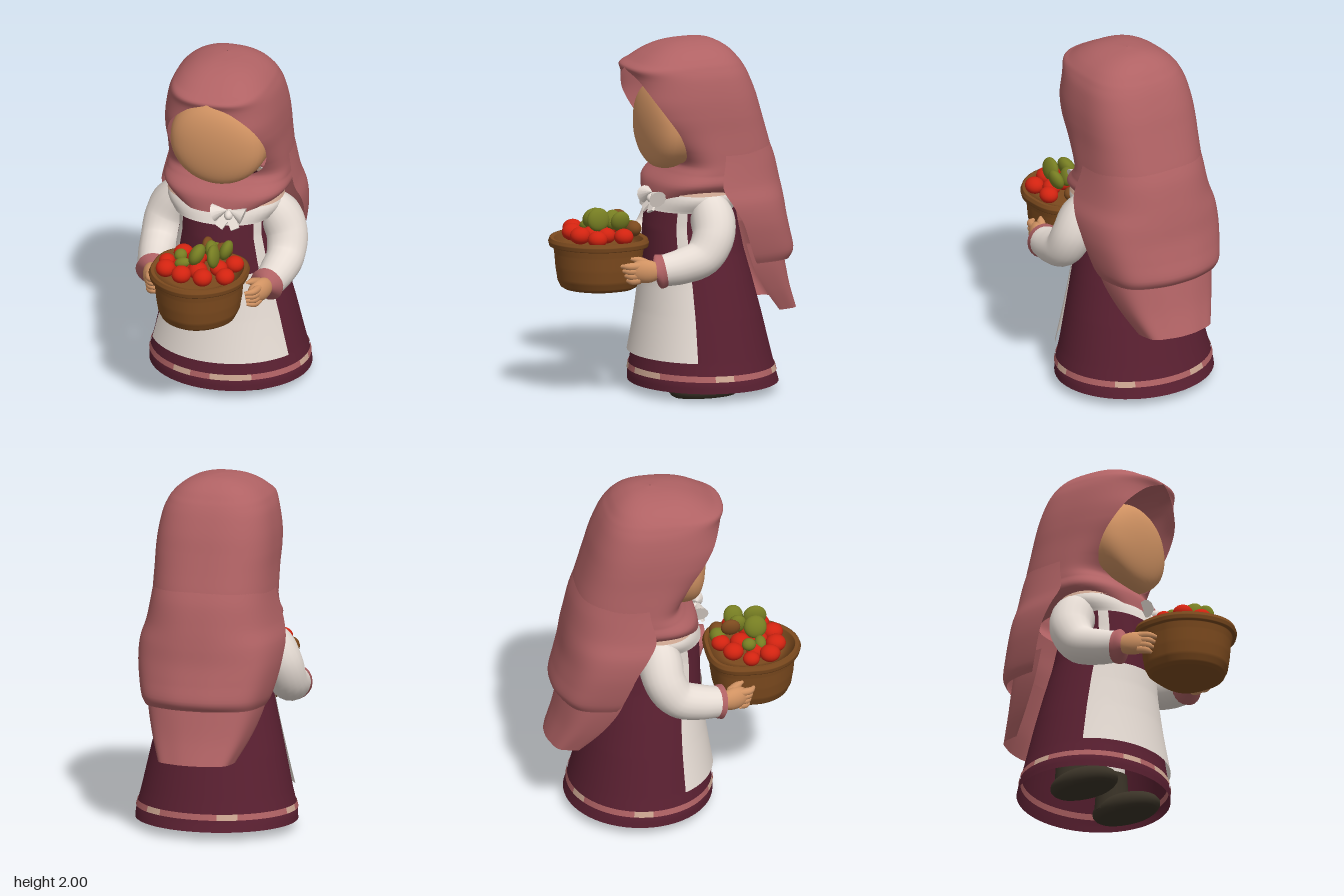
import * as THREE from 'three';
import { ParametricGeometry } from 'three/addons/geometries/ParametricGeometry.js';

const PI = Math.PI;
const paint = (name, color) => {
  const m = new THREE.MeshStandardMaterial({ color, side: THREE.DoubleSide });
  m.name = name;
  return m;
};
const bend = (t, e) => Math.sign(t) * Math.abs(t) ** e;

// Smooth value at t (0..1) through evenly weighted rows of numbers
function sampleRows(rows, t) {
  const f = t * (rows.length - 1), i = Math.min(Math.floor(f), rows.length - 2), k = f - i;
  const at = (j) => rows[Math.max(0, Math.min(rows.length - 1, j))];
  return rows[0].map((_, c) => {
    const [a, b, d, e] = [at(i - 1)[c], at(i)[c], at(i + 1)[c], at(i + 2)[c]];
    return b + 0.5 * k * (d - a + k * (2 * a - 5 * b + 4 * d - e + k * (3 * (b - d) + e - a)));
  });
}

// Cloth sheet: each row is [y, halfWidth, zMiddle, zBack, xEdge, zEdge];
// it runs round the back from one front edge to the other (xEdge 0 closes it).
// Power e below 1 makes the plan boxier; fold adds ripples towards the hem.
function cloth(rows, slices, stacks, fold = 0, e = 0.76) {
  return new ParametricGeometry((u, v, p) => {
    const [y, rx, zc, zb, xe, ze] = sampleRows(rows, v);
    const end = PI - Math.asin(THREE.MathUtils.clamp(xe / rx, 0, 1) ** (1 / e));
    const a = (u * 2 - 1) * end, c = bend(Math.cos(a), e), ce = -Math.cos(end);
    const wave = 1 + fold * v * Math.cos(a * 7);
    const front = ce > 0.01 ? (ze - zc) / ce ** e : 0;
    p.set(rx * bend(Math.sin(a), e) * wave, y, zc - (c > 0 ? zc - zb : front) * c * wave);
  }, slices, stacks);
}

// Dress rows: [y, halfWidth, zFront, zBack], from hem to neck
const DRESS = [
  [0.05, 0.458, 0.225, -0.605], [0.1, 0.455, 0.225, -0.59], [0.22, 0.425, 0.205, -0.56],
  [0.45, 0.375, 0.18, -0.505], [0.64, 0.33, 0.165, -0.455], [0.8, 0.29, 0.16, -0.41],
  [0.95, 0.26, 0.155, -0.38], [1.05, 0.26, 0.14, -0.36], [1.15, 0.26, 0.11, -0.34], [1.22, 0.18, 0.03, -0.28],
];
function dressAt(y) {
  let i = 0;
  while (i < DRESS.length - 2 && DRESS[i + 1][0] < y) i++;
  const k = (y - DRESS[i][0]) / (DRESS[i + 1][0] - DRESS[i][0]);
  return DRESS[i].map((v, c) => v + (DRESS[i + 1][c] - v) * k);
}
// Piece of the dress surface between two heights and two angles (0 = back, PI = front)
function dressPatch(y0, y1, a0, a1, off, slices, stacks, flare = 0) {
  return new ParametricGeometry((u, v, p) => {
    const y = y1 + (y0 - y1) * v, [, rx, zf, zb] = dressAt(y);
    const a = a0 + (a1 - a0) * u, o = off + flare * v * v;
    p.set((rx + o) * Math.sin(a), y, (zf + zb) / 2 - ((zf - zb) / 2 + o) * Math.cos(a));
  }, slices, stacks);
}

// Tube whose radius follows a list
function limb(points, radii, n = 28, sides = 20) {
  const path = new THREE.CatmullRomCurve3(points.map((q) => new THREE.Vector3(...q)));
  const geo = new THREE.TubeGeometry(path, n, 1, sides), pos = geo.attributes.position;
  const v = new THREE.Vector3();
  for (let i = 0; i <= n; i++) {
    const c = path.getPointAt(i / n), r = sampleRows(radii.map((x) => [x]), i / n)[0];
    for (let j = 0; j <= sides; j++) {
      const id = i * (sides + 1) + j;
      v.fromBufferAttribute(pos, id).sub(c).multiplyScalar(r).add(c);
      pos.setXYZ(id, v.x, v.y, v.z);
    }
  }
  return geo;
}

export function createModel() {
  const model = new THREE.Group();
  const rose = paint('rose cloth', 0xb06264), maroon = paint('maroon cloth', 0x5a2031);
  const white = paint('off-white cloth', 0xe6dcd4), skin = paint('skin', 0xd09262);
  const wicker = paint('basket brown', 0x7c4a1e), red = paint('tomato red', 0xd22310);
  const olive = paint('olive green', 0x767d22), dark = paint('shoe brown', 0x3a3327);
  const beige = paint('beige trim', 0xcfa893);
  const add = (name, geo, mat, parent = model) => {
    const m = new THREE.Mesh(geo, mat);
    m.name = name;
    parent.add(m);
    return m;
  };
  const ball = (name, mat, pos, scale, rot = [0, 0, 0], parent = model) => {
    const m = add(name, new THREE.SphereGeometry(1, 20, 14), mat, parent);
    m.position.set(...pos);
    m.scale.set(...scale);
    m.rotation.set(...rot);
  };

  // Dress, apron, shoulder straps and hem trim (outside and inside the hem)
  add('dress', dressPatch(0.05, 1.22, 0, 2 * PI, 0, 56, 40), maroon);
  add('apron', dressPatch(0.22, 0.74, PI * 0.655, PI * 1.345, 0.007, 30, 16, 0.016), white);
  for (const s of [-1, 1])
    add('apronStrap', dressPatch(0.74, 1.08, PI + s * 0.28 * PI, PI + s * 0.35 * PI, 0.007, 4, 10), white);
  for (let i = 0; i < 24; i++)
    add('hemTrim', dressPatch(0.115, 0.148, i * PI / 12, (i + 1) * PI / 12, 0.005, 4, 1),
      [2, 6, 10, 11, 13, 18, 22].includes(i) ? beige : rose);
  add('innerHemTrim', dressPatch(0.115, 0.148, 0, 2 * PI, -0.006, 56, 1), rose);

  // White collar over the shoulders, with a beige edge
  add('collar', cloth([
    [1.23, 0.22, -0.1, -0.3, 0, 0.02], [1.19, 0.3, -0.1, -0.33, 0, 0.09],
    [1.12, 0.33, -0.1, -0.34, 0, 0.135], [1.05, 0.29, -0.1, -0.34, 0, 0.16],
  ], 44, 10, 0, 0.9), white);
  add('collarEdge', cloth([
    [1.2, 0.292, -0.1, -0.33, 0, 0.085], [1.175, 0.319, -0.1, -0.33, 0, 0.107], [1.15, 0.331, -0.1, -0.34, 0, 0.125],
  ], 44, 4, 0, 0.9), beige);

  // Head with a flattened, blank face, fuller towards the chin
  const head = new THREE.SphereGeometry(1, 40, 30), hp = head.attributes.position;
  for (let i = 0; i < hp.count; i++) {
    const y = hp.getY(i);
    hp.setXYZ(i, hp.getX(i) * 0.283, 1.525 + y * 0.256, -0.1 + 0.282 * bend(hp.getZ(i), y < 0 ? 0.37 + 0.12 * y : 0.37));
  }
  head.computeVertexNormals();
  add('head', head, skin);

  // Headscarf: hood with face opening, back drape and lower tail
  add('hood', cloth([
    [1.998, 0.003, -0.12, -0.123, 0, -0.117], [1.988, 0.085, -0.115, -0.215, 0, 0.0], [1.965, 0.16, -0.11, -0.275, 0, 0.09],
    [1.93, 0.22, -0.11, -0.325, 0, 0.165], [1.89, 0.262, -0.11, -0.36, 0, 0.23],
    [1.857, 0.283, -0.115, -0.385, 0, 0.285], [1.8, 0.306, -0.13, -0.415, 0.12, 0.255], [1.7, 0.325, -0.15, -0.455, 0.225, 0.205],
    [1.6, 0.333, -0.17, -0.485, 0.27, 0.14], [1.5, 0.335, -0.18, -0.515, 0.28, 0.07], [1.4, 0.34, -0.18, -0.545, 0.262, 0.025],
    [1.33, 0.343, -0.18, -0.56, 0.2, 0.015], [1.27, 0.348, -0.17, -0.565, 0, 0.06],
    [1.2, 0.35, -0.15, -0.56, 0, 0.125], [1.115, 0.25, -0.12, -0.5, 0, 0.145],
  ], 64, 70), rose);
  add('scarfDrape', cloth([
    [1.43, 0.333, -0.185, -0.532, 0.333, -0.185], [1.33, 0.349, -0.175, -0.572, 0.349, -0.175],
    [1.2, 0.378, -0.15, -0.602, 0.378, -0.15],
    [1.1, 0.405, -0.2, -0.62, 0.405, -0.2], [1.0, 0.405, -0.26, -0.635, 0.405, -0.26],
    [0.9, 0.39, -0.3, -0.66, 0.39, -0.3], [0.8, 0.365, -0.34, -0.685, 0.365, -0.34], [0.75, 0.34, -0.37, -0.66, 0.34, -0.37],
  ], 48, 32, 0.012), rose);
  add('scarfTail', cloth([
    [0.87, 0.35, -0.3, -0.6, 0.35, -0.3], [0.72, 0.325, -0.36, -0.635, 0.325, -0.36],
    [0.58, 0.28, -0.45, -0.67, 0.28, -0.45], [0.45, 0.22, -0.56, -0.715, 0.22, -0.56],
  ], 40, 14, 0.02), rose);

  // Bow at the neck
  const bow = new THREE.Group();
  bow.name = 'bow';
  bow.position.set(0.09, 1.12, 0.15);
  ball('bowKnot', white, [0, 0, 0], [0.026, 0.03, 0.04], [0, 0, 0], bow);
  for (const s of [-1, 1]) {
    const loop = add('bowLoop', new THREE.ConeGeometry(0.05, 0.085, 12), white, bow);
    loop.position.set(s * 0.045, 0.02, 0.012);
    loop.rotation.z = s * 1.25;
    const tail = add('bowTail', new THREE.BoxGeometry(0.05, 0.085, 0.014), white, bow);
    tail.position.set(s * 0.028, -0.035, 0.02);
    tail.rotation.set(-0.6, 0, s * 0.5);
  }
  model.add(bow);

  // Arms, hands, legs and shoes on both sides
  for (const s of [1, -1]) {
    const side = new THREE.Group();
    side.name = s > 0 ? 'leftLimbs' : 'rightLimbs';
    const mir = (pts) => pts.map(([x, y, z]) => [x * s, y, z]);
    add('sleeve', limb(mir([[0.2, 1.12, -0.11], [0.285, 1.05, -0.115], [0.35, 0.93, -0.1], [0.365, 0.82, -0.03],
      [0.353, 0.775, 0.09], [0.333, 0.752, 0.215]]), [0.07, 0.122, 0.118, 0.108, 0.1, 0.088]), white, side);
    add('cuff', limb(mir([[0.338, 0.757, 0.19], [0.331, 0.752, 0.215], [0.326, 0.748, 0.24], [0.323, 0.747, 0.25]]),
      [0.09, 0.096, 0.09, 0.01], 12), rose, side);
    ball('palm', skin, [s * 0.315, 0.755, 0.3], [0.048, 0.066, 0.095], [0, -s * 0.4, 0], side);
    for (let i = 0; i < 4; i++)
      add('finger', limb(mir([[0.318, 0.787 - i * 0.026, 0.33], [0.3, 0.786 - i * 0.028, 0.395 - i * 0.008],
        [0.262, 0.783 - i * 0.028, 0.42 - i * 0.012]]), [0.022, 0.021, 0.01], 8, 10), skin, side);
    add('thumb', limb(mir([[0.3, 0.79, 0.28], [0.275, 0.815, 0.33], [0.255, 0.82, 0.36]]), [0.028, 0.024, 0.008], 8, 10), skin, side);
    add('leg', new THREE.CylinderGeometry(0.075, 0.075, 0.3, 18), white, side).position.set(s * 0.19, 0.38, -0.2);
    add('boot', new THREE.CylinderGeometry(0.085, 0.1, 0.22, 18), dark, side).position.set(s * 0.195, 0.15, -0.2);
    const shoe = new THREE.SphereGeometry(1, 24, 16), p = shoe.attributes.position;
    for (let i = 0; i < p.count; i++)
      p.setXYZ(i, s * 0.205 + p.getX(i) * 0.123, Math.max(0, 0.045 + p.getY(i) * 0.085), -0.11 + p.getZ(i) * 0.215);
    shoe.computeVertexNormals();
    add('shoe', shoe, dark, side);
    model.add(side);
  }

  // Basket: rounded outline swept up the wall, over the rim and inside
  const wall = [[0.01, 0.62], [0.68, 0.622], [0.76, 0.635], [0.82, 0.67], [0.86, 0.74], [0.885, 0.82], [0.91, 0.862], [0.99, 0.866],
    [1.01, 0.888], [0.98, 0.91], [0.9, 0.908], [0.86, 0.88], [0.01, 0.875]];
  add('basket', new ParametricGeometry((u, v, p) => {
    const f = v * (wall.length - 1), i = Math.min(Math.floor(f), wall.length - 2), k = f - i;
    const r = wall[i][0] + (wall[i + 1][0] - wall[i][0]) * k, y = wall[i][1] + (wall[i + 1][1] - wall[i][1]) * k;
    const a = u * 2 * PI, q = Math.sin(a), e = q < 0 ? 0.65 : 1.08;
    p.set(0.273 * r * bend(Math.cos(a), e), y, 0.45 + r * (0.01 + bend(q, e) * 0.268));
  }, 64, 48), wicker);

  // Tomatoes: [x, y, z, radius]
  for (const [x, y, z, r] of [[-0.12, 0.94, 0.33, 0.055], [-0.19, 0.925, 0.42, 0.045], [-0.165, 0.935, 0.53, 0.055],
    [-0.06, 0.935, 0.58, 0.055], [0.065, 0.935, 0.585, 0.055], [0.18, 0.93, 0.53, 0.053], [0.19, 0.935, 0.375, 0.052],
    [-0.03, 0.945, 0.385, 0.055], [0.12, 0.935, 0.45, 0.05], [0, 0.93, 0.28, 0.05], [0.01, 0.925, 0.49, 0.055], [-0.1, 0.92, 0.46, 0.05]])
    ball('tomato', red, [x, y, z], [r, r * 0.88, r * 1.05]);

  // Olives and brown fruit: [x, y, z, width, height, depth, tilt, material]
  for (const [x, y, z, w, h, d, tilt, mat] of [[0, 1.015, 0.475, 0.04, 0.065, 0.065, 0.45, olive],
    [0.1, 1.025, 0.49, 0.032, 0.066, 0.066, -0.1, olive], [0.14, 1.015, 0.375, 0.034, 0.06, 0.055, 0.35, olive],
    [-0.11, 0.97, 0.42, 0.036, 0.036, 0.04, 0, olive], [-0.08, 0.96, 0.49, 0.045, 0.03, 0.032, -0.3, olive],
    [0.06, 1.01, 0.385, 0.035, 0.055, 0.05, -0.2, olive], [0.09, 0.955, 0.275, 0.06, 0.045, 0.045, -0.2, wicker],
    [0.025, 1.01, 0.34, 0.03, 0.05, 0.055, -0.2, wicker], [0.05, 0.95, 0.27, 0.05, 0.045, 0.045, 0, olive]])
    ball(mat === olive ? 'olive' : 'brownFruit', mat, [x, y, z], [w, h, d], [0, 0, -tilt]);

  return model;
}
